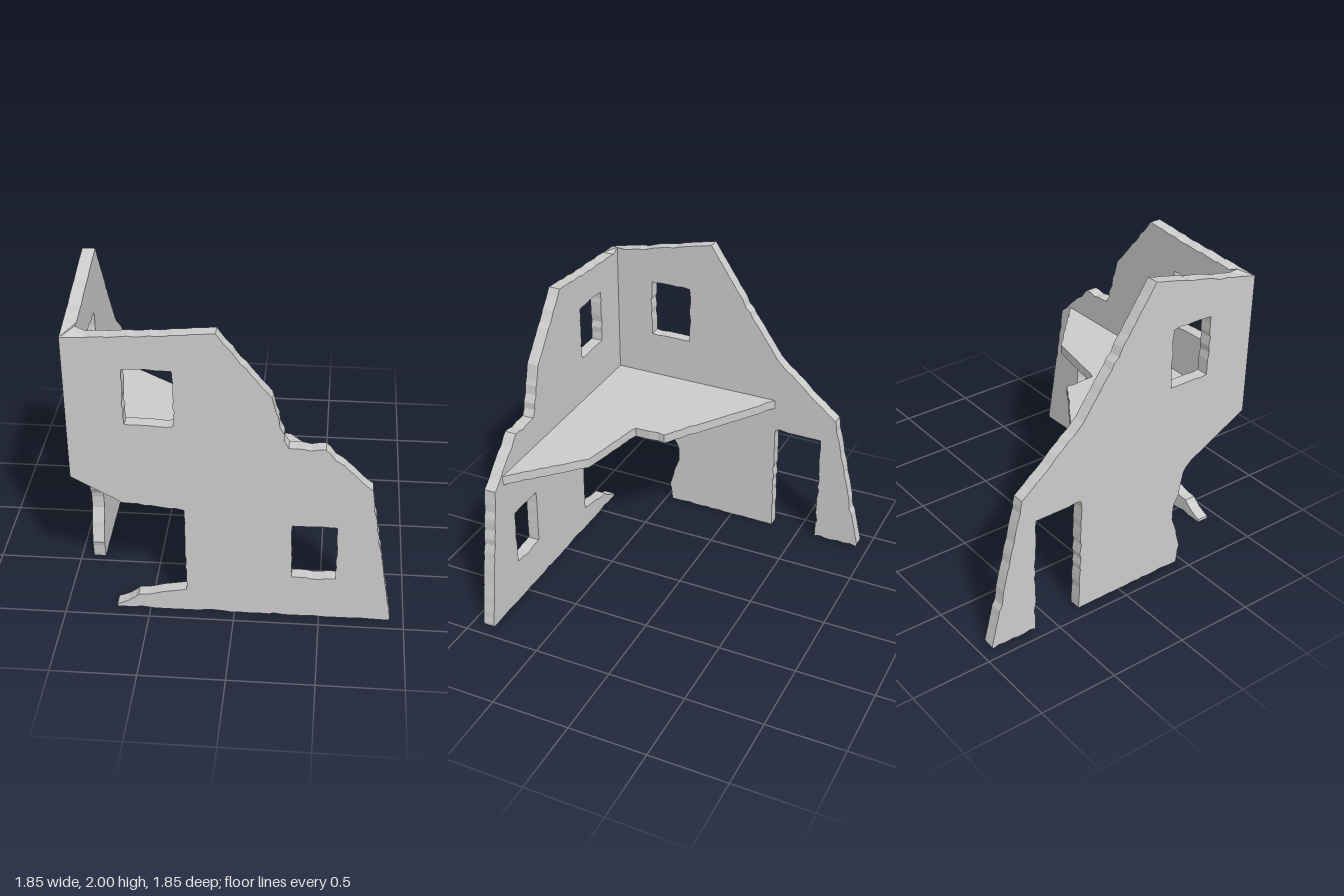
import * as THREE from 'three';

const THICK = 0.075;   // wall thickness
const OUT = 0.925;     // outer face of the walls
const IN = OUT - THICK;

// Small seeded generator for the chipped edges
function seeded(seed) {
  return () => {
    seed = (seed * 16807) % 2147483647;
    return seed / 2147483647;
  };
}

// Splits each edge and nicks the new points into the solid (left of travel).
// Points close to the mitred corner line u = corner stay clean.
function chip(points, random, corner = Infinity) {
  const result = [];
  points.forEach(([u, v], i) => {
    const [u2, v2] = points[(i + 1) % points.length];
    const du = u2 - u, dv = v2 - v, length = Math.hypot(du, dv);
    const n = Math.max(1, Math.round(length / 0.045));
    result.push(new THREE.Vector2(u, v));
    for (let k = 1; k < n; k++) {
      const t = (k + (random() - 0.5) * 0.6) / n;
      const depth = 0.011 * random() ** 3;
      const pu = u + du * t - (dv / length) * depth;
      const pv = v + dv * t + (du / length) * depth;
      if (Math.abs(pu - corner) > 0.12) result.push(new THREE.Vector2(pu, pv));
    }
  });
  return result;
}

function slab(outline, openings, depth, seed, corner) {
  const random = seeded(seed);
  const shape = new THREE.Shape(chip(outline, random, corner));
  for (const [u0, u1, v0, v1] of openings) {
    const ring = [[u0, v0], [u0, v1], [u1, v1], [u1, v0]];
    shape.holes.push(new THREE.Path(chip(ring, random)));
  }
  return new THREE.ExtrudeGeometry(shape, { depth, bevelEnabled: false });
}

// Pulls the inner edge back so the two walls meet in a mitre
function mitre(geometry, corner) {
  const p = geometry.attributes.position;
  for (let i = 0; i < p.count; i++) {
    if (p.getZ(i) < 0.001 && Math.abs(p.getX(i) - corner) < 0.001) {
      p.setXY(i, Math.sign(corner) * IN, p.getY(i) > 1.4 ? 1.863 : 0.893);
    }
  }
  geometry.computeVertexNormals();
  return geometry;
}

export function createModel() {
  const model = new THREE.Group();
  model.name = 'ruinedHouse';
  const material = new THREE.MeshStandardMaterial({ color: 0xcccccc, flatShading: true });
  const add = (name, geometry) => {
    const mesh = new THREE.Mesh(geometry, material);
    mesh.name = name;
    model.add(mesh);
  };

  // Front wall (x, y), with a broken-out lower corner and two windows
  const frontOutline = [
    [-OUT, 0.935], [-0.64, 0.77], [-0.285, 0.735], [-0.285, 0.155],
    [-0.42, 0.13], [-0.57, 0.1], [-0.63, 0.05], [-0.7, 0.02], [-0.7, 0],
    [0.915, 0], [0.92, 0.02], [0.78, 0.93], [0.51, 1.19], [0.305, 1.19],
    [0.21, 1.51], [-0.09, 1.89], [-OUT, 1.83],
  ];
  const frontWindows = [[-0.6, -0.33, 1.3, 1.65], [0.335, 0.59, 0.29, 0.66]];
  const front = mitre(slab(frontOutline, frontWindows, THICK, 11, -OUT), -OUT);
  add('frontWall', front.translate(0, 0, IN));

  // Side wall (z, y), with a doorway, a window and a ragged breach
  const sideOutline = [
    [OUT, 1.83], [0.18, 2], [-0.3, 1.29], [-0.715, 0.935], [-0.925, 0.02], [-0.92, 0],
    [-0.62, 0], [-0.62, 0.765], [-0.305, 0.765], [-0.305, 0],
    [0.455, 0], [0.475, 0.12], [0.44, 0.25], [0.405, 0.34], [0.405, 0.42],
    [0.44, 0.5], [0.46, 0.61], [0.49, 0.69], [0.6, 0.76], [OUT, 0.935],
  ];
  const side = mitre(slab(sideOutline, [[0.33, 0.6, 1.29, 1.665]], THICK, 23, OUT), OUT);
  add('sideWall', side.rotateY(-Math.PI / 2).translate(-IN, 0, 0));

  // Broken upper floor (x, z), let slightly into both walls
  const floorOutline = [
    [-0.87, -0.313], [-0.15, 0.18], [-0.15, 0.38], [0.3, 0.475],
    [0.69, 0.85], [0.69, 0.87], [-0.87, 0.87],
  ];
  const floor = slab(floorOutline, [], 0.06, 37);
  add('upperFloor', floor.rotateX(Math.PI / 2).translate(0, 0.99, 0));

  return model;
}
